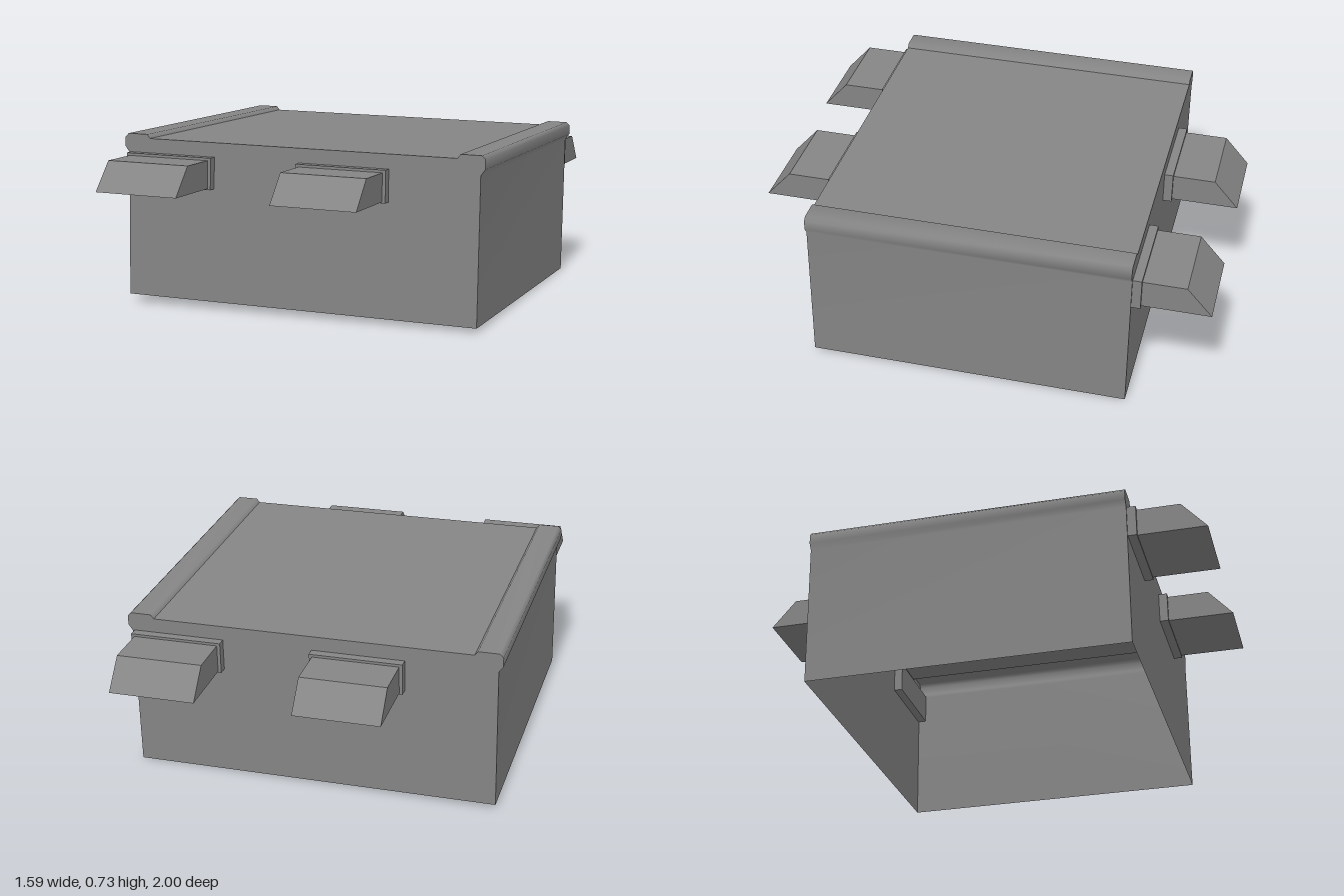
import * as THREE from 'three';

const material = new THREE.MeshStandardMaterial({ color: 0x858585, side: THREE.DoubleSide });

function addMesh(parent, name, geometry) {
  const mesh = new THREE.Mesh(geometry, material);
  mesh.name = name;
  parent.add(mesh);
  return mesh;
}

// Open smooth sheet: sweeps a profile of [x, y] points along z
function sweptSheet(profile, halfDepth) {
  const pos = [];
  const index = [];
  profile.forEach(([x, y], i) => {
    pos.push(x, y, halfDepth, x, y, -halfDepth);
    if (i > 0) {
      const a = 2 * i - 2;
      index.push(a, a + 1, a + 3, a, a + 3, a + 2);
    }
  });
  const g = new THREE.BufferGeometry();
  g.setAttribute('position', new THREE.Float32BufferAttribute(pos, 3));
  g.setIndex(index);
  g.computeVertexNormals();
  return g;
}

// Wedge-nosed tab with the flange that passes through the wall
function makeTab(x) {
  const tab = new THREE.Group();
  tab.name = 'tab';
  const flange = addMesh(tab, 'tabFlange', new THREE.BoxGeometry(0.391, 0.134, 0.075));
  flange.position.set(0, 0.565, 0.677);

  // Side outline in (z, y), extruded across x
  const side = new THREE.Shape([[0.70, 0.503], [1.0, 0.503], [0.895, 0.621], [0.70, 0.621]]
    .map(([z, y]) => new THREE.Vector2(z, y)));
  const width = 0.364;
  const g = new THREE.ExtrudeGeometry(side, { depth: width, bevelEnabled: false });
  g.translate(0, 0, -width / 2);
  g.rotateY(-Math.PI / 2);
  addMesh(tab, 'tabNose', g);
  tab.position.x = x;
  return tab;
}

export function createModel() {
  const model = new THREE.Group();
  model.name = 'cover';

  // Side wall and rounded rim, from the open bottom to the roof
  const left = [
    [0.777, 0.017], [0.777, 0.63], [0.795, 0.655], [0.795, 0.695],
    [0.78, 0.71], [0.692, 0.71], [0.679, 0.693],
  ];
  const right = left.map(([x, y]) => [-x, y]).reverse();
  const halfDepth = 0.677;
  addMesh(model, 'leftWallAndRim', sweptSheet(left, halfDepth));
  addMesh(model, 'rightWallAndRim', sweptSheet(right, halfDepth));
  addMesh(model, 'roof', sweptSheet([left.at(-1), right[0]], halfDepth));

  // Front and back walls fill the section
  const outline = new THREE.Shape([...left, ...right].map(([x, y]) => new THREE.Vector2(x, y)));
  for (const [name, turn] of [['frontWall', 0], ['backWall', Math.PI]]) {
    const wall = addMesh(model, name, new THREE.ShapeGeometry(outline).translate(0, 0, halfDepth));
    wall.rotation.y = turn;
  }

  // Two tabs on each end, the back pair turned half round
  for (const [name, turn] of [['frontTabs', 0], ['backTabs', Math.PI]]) {
    const pair = new THREE.Group();
    pair.name = name;
    pair.add(makeTab(-0.574), makeTab(0.199));
    pair.rotation.y = turn;
    model.add(pair);
  }

  // The whole cover sits very slightly tilted
  model.rotation.set(-0.013, 0, -0.0118);
  model.position.set(-0.009, 0, 0.007);
  const root = new THREE.Group();
  root.name = 'tabbedCover';
  root.add(model);
  return root;
}
